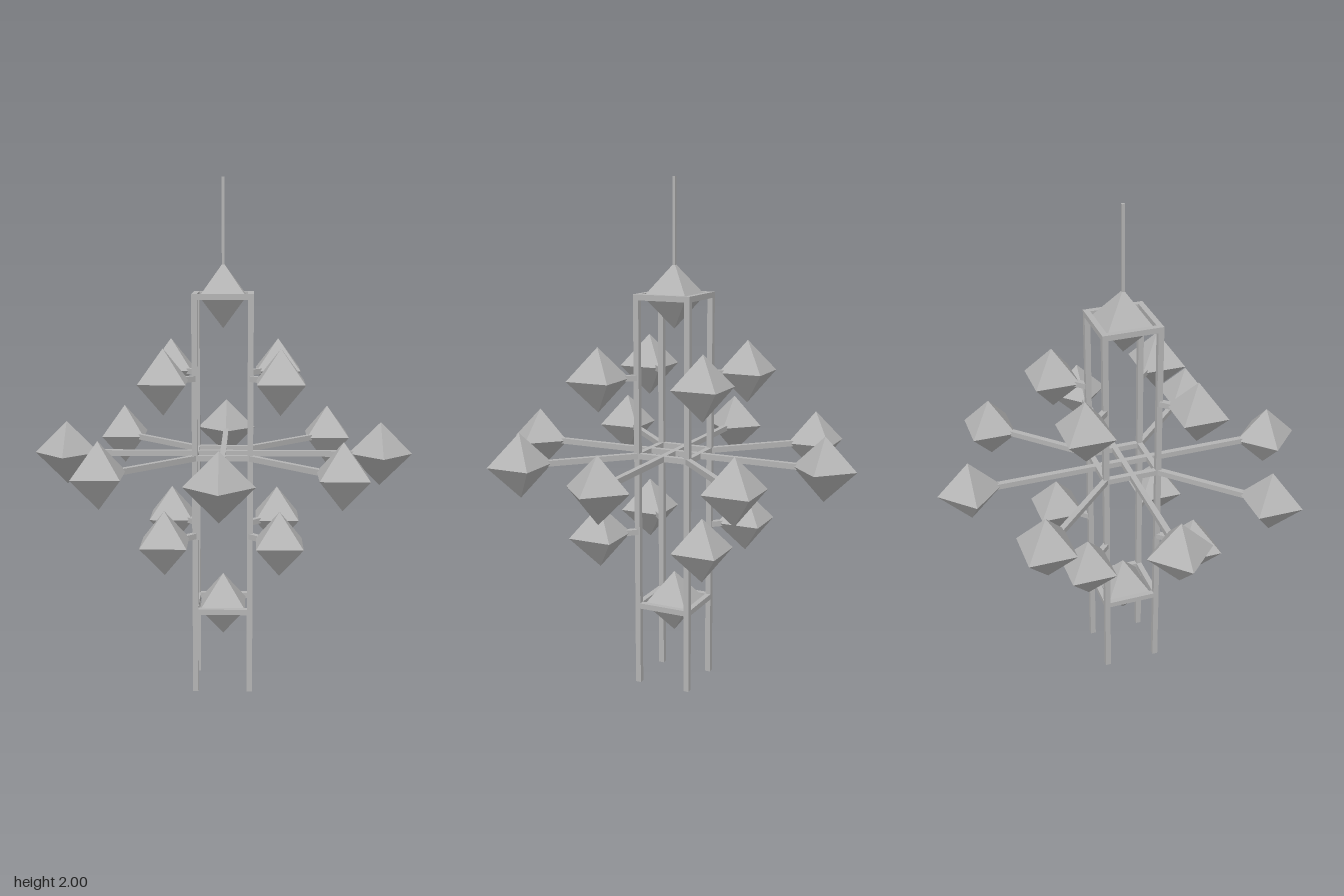
import * as THREE from 'three';

const MID = 0.942;   // height of the middle ring
const STEP = 0.307;  // spacing between crystals
const POST = 0.15;   // distance of the posts from the axis
const R = 0.125;     // crystal radius
const BAR = 0.022;   // bar thickness

export function createModel() {
  const model = new THREE.Group();
  model.name = 'crystalTower';
  const grey = new THREE.MeshStandardMaterial({ color: 0xb4b4b4, flatShading: true });
  grey.name = 'grey';

  const add = (geometry, name, x, y, z, turn = 0) => {
    const mesh = new THREE.Mesh(geometry, grey);
    mesh.name = name;
    mesh.position.set(x, y, z);
    mesh.rotation.y = turn;
    model.add(mesh);
  };
  const crystalGeometry = new THREE.OctahedronGeometry(R);

  // Crystal at a distance from the axis, one corner pointing inwards
  const crystal = (name, angle, distance, y) =>
    add(crystalGeometry, name, Math.cos(angle) * distance, y, -Math.sin(angle) * distance, angle);

  // Horizontal square bar along a direction, between two distances from the axis
  const spoke = (name, angle, from, to, y) => {
    const mid = (from + to) / 2;
    add(new THREE.BoxGeometry(to - from, BAR, BAR), name,
      Math.cos(angle) * mid, y, -Math.sin(angle) * mid, angle);
  };

  const top = MID + 2 * STEP, bottom = MID - 2 * STEP;
  const postHeight = top + BAR / 2;

  for (let i = 0; i < 4; i++) {
    const a = i * Math.PI / 2, d = a + Math.PI / 4;

    // Posts, turned to line up with the square frames
    add(new THREE.BoxGeometry(BAR, postHeight, BAR), 'post',
      Math.cos(a) * POST, postHeight / 2, -Math.sin(a) * POST, d);

    // Frame bars joining neighbouring posts
    for (const y of [bottom, MID, top]) {
      const r = POST * Math.SQRT1_2;
      add(new THREE.BoxGeometry(POST * Math.SQRT2, BAR, BAR), 'frameBar',
        Math.cos(d) * r, y, -Math.sin(d) * r, d + Math.PI / 2);
    }

    // Short arms above and below, long arms in the middle
    for (const [y, distance] of [[MID + STEP, STEP], [MID - STEP, STEP], [MID, 2 * STEP]]) {
      spoke('arm', a, POST, distance - R + 0.02, y);
      crystal('crystal', a, distance, y);
    }
    crystal('diagonalCrystal', d, 2 * STEP, MID);
  }

  // Two diagonal rods crossing through the centre
  const reach = 2 * STEP - R + 0.02;
  for (const a of [Math.PI / 4, -Math.PI / 4]) spoke('diagonalRod', a, -reach, reach, MID);

  // Crystals on the axis and the mast
  crystal('topCrystal', 0, 0, top);
  crystal('bottomCrystal', 0, 0, bottom);
  add(new THREE.BoxGeometry(0.011, 2 - top, 0.011), 'mast', 0, (2 + top) / 2, 0, Math.PI / 4);

  return model;
}
